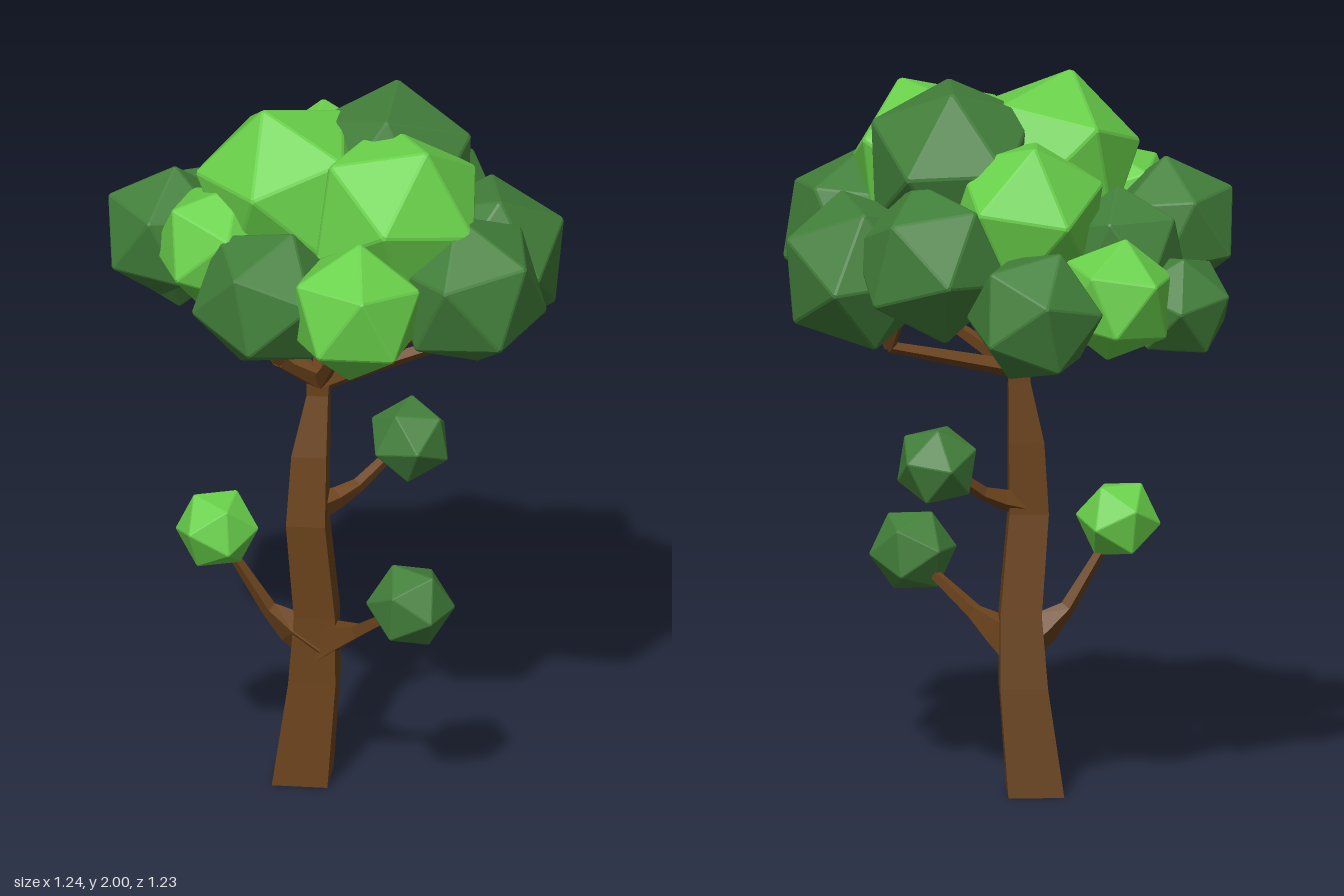
import * as THREE from 'three';
import { ConvexGeometry } from 'three/addons/geometries/ConvexGeometry.js';

const BARK = new THREE.MeshStandardMaterial({ color: 0x6b431c, flatShading: true });
const DARK = new THREE.MeshStandardMaterial({ color: 0x427f3a, flatShading: true });
const LIGHT = new THREE.MeshStandardMaterial({ color: 0x69d04a, flatShading: true });
const UP = new THREE.Vector3(0, 1, 0);

// Faceted limb through stations [x, y, z, radius]; level keeps every ring horizontal.
function limb(name, stations, sides, level = false, turn = 0) {
  const centres = stations.map(([x, y, z]) => new THREE.Vector3(x, y, z));
  const pos = [], index = [], last = stations.length - 1;
  centres.forEach((c, i) => {
    const q = new THREE.Quaternion();
    if (!level) {
      const dir = centres[Math.min(i + 1, last)].clone().sub(centres[Math.max(i - 1, 0)]).normalize();
      q.setFromUnitVectors(UP, dir);
    }
    for (let s = 0; s < sides; s++) {
      const a = turn + (s / sides) * Math.PI * 2, r = stations[i][3];
      const v = new THREE.Vector3(Math.sin(a) * r, 0, Math.cos(a) * r).applyQuaternion(q).add(c);
      pos.push(v.x, v.y, v.z);
    }
  });
  const foot = pos.length / 3, tip = foot + 1;
  pos.push(...centres[0].toArray(), ...centres[last].toArray());
  for (let s = 0; s < sides; s++) {
    const t = (s + 1) % sides;
    for (let i = 0; i < last; i++) {
      const a = i * sides + s, b = i * sides + t;
      index.push(a, b, b + sides, a, b + sides, a + sides);
    }
    index.push(foot, t, s, tip, last * sides + s, last * sides + t);
  }
  const g = new THREE.BufferGeometry();
  g.setAttribute('position', new THREE.Float32BufferAttribute(pos, 3));
  g.setIndex(index);
  g.computeVertexNormals();
  const mesh = new THREE.Mesh(g, BARK);
  mesh.name = name;
  return mesh;
}

// Unit icosahedron with bevelled edges: each face shrinks a little in its own plane.
function bevelledIcosahedron(bevel) {
  const p = new THREE.IcosahedronGeometry(1, 0).attributes.position;
  const points = [];
  for (let f = 0; f < p.count; f += 3) {
    const face = [0, 1, 2].map((k) => new THREE.Vector3().fromBufferAttribute(p, f + k));
    const mid = face[0].clone().add(face[1]).add(face[2]).divideScalar(3);
    points.push(...face.map((v) => v.lerp(mid, bevel)));
  }
  const corner = new THREE.Vector3().fromBufferAttribute(p, 0).normalize();
  return new ConvexGeometry(points).applyQuaternion(new THREE.Quaternion().setFromUnitVectors(corner, UP));
}
const LEAVES = bevelledIcosahedron(0.06);

// Leaf clump with one corner aimed along a direction and spun about it.
function clump(name, [x, y, z, r], material, aim, spin) {
  const mesh = new THREE.Mesh(LEAVES, material);
  mesh.name = name;
  mesh.position.set(x, y, z);
  mesh.scale.setScalar(r);
  mesh.quaternion.setFromUnitVectors(UP, aim.normalize())
    .multiply(new THREE.Quaternion().setFromAxisAngle(UP, spin));
  return mesh;
}

export function createModel() {
  const tree = new THREE.Group();
  tree.name = 'tree';
  const away = ([x, y, z], from) => new THREE.Vector3(x, y, z).sub(from);

  // Trunk: a gently bent four-sided column
  tree.add(limb('trunk', [
    [-0.095, 0, 0.055, 0.108], [-0.064, 0.3, 0.066, 0.092], [-0.058, 0.5, 0.076, 0.08],
    [-0.084, 0.78, 0.09, 0.076], [-0.075, 0.98, 0.08, 0.068],
    [-0.053, 1.15, 0.068, 0.042], [-0.05, 1.21, 0.07, 0.044],
  ], 4, true, 0.6));

  // Side branches, flared where they leave the trunk
  const sideBranches = {
    upperSideBranch: [[-0.07, 0.81, 0.08, 0.045], [0.0, 0.825, 0.05, 0.03], [0.06, 0.85, 0.025, 0.02], [0.18, 0.94, -0.04, 0.014]],
    rightSideBranch: [[-0.05, 0.4, 0.08, 0.06], [-0.125, 0.455, 0.078, 0.048], [-0.19, 0.51, 0.07, 0.022], [-0.31, 0.71, 0.065, 0.012]],
    leftSideBranch: [[-0.06, 0.4, 0.08, 0.06], [-0.01, 0.445, 0.125, 0.048], [0.045, 0.485, 0.185, 0.023], [0.17, 0.61, 0.32, 0.012]],
  };
  for (const [name, path] of Object.entries(sideBranches)) tree.add(limb(name, path, 4));

  // Crown branches: hub to knee, then twigs up into the leaves
  const hub = [-0.05, 1.18, 0.07];
  const forks = [
    { knee: [0.32, 1.27, 0.02], ends: [[0.4, 1.45, -0.02], [0.3, 1.48, -0.16]] },
    { knee: [0.12, 1.3, 0.2], ends: [[0.28, 1.48, 0.28], [0.14, 1.48, 0.34]] },
    { knee: [-0.02, 1.33, 0.25], ends: [[0.02, 1.5, 0.37]] },
    { knee: [-0.17, 1.3, 0.2], ends: [[-0.22, 1.5, 0.3], [-0.3, 1.5, 0.15]] },
    { knee: [-0.23, 1.32, 0.02], ends: [[-0.42, 1.5, -0.05], [-0.3, 1.5, 0.08]] },
    { knee: [-0.22, 1.31, -0.16], ends: [[-0.38, 1.42, -0.28], [-0.24, 1.48, -0.36]] },
    { knee: [0.0, 1.32, -0.28], ends: [[0.02, 1.43, -0.42], [0.06, 1.5, -0.22]] },
  ];
  for (const { knee, ends } of forks) {
    tree.add(limb('crownBranch', [[...hub, 0.026], [...knee, 0.016]], 4));
    for (const end of ends) tree.add(limb('twig', [[...knee, 0.016], [...end, 0.011]], 4));
  }

  // Outer crown leaves: [x, y, z, radius, spin]
  const crownDark = [
    [0.02, 1.435, -0.435, 0.195, 0.9], [-0.41, 1.42, -0.31, 0.158, 1.4],
    [-0.28, 1.55, -0.21, 0.188, 2.1], [-0.455, 1.59, -0.055, 0.195, 4.03], [0.42, 1.5, -0.03, 0.23, 4.13],
    [0.26, 1.55, -0.22, 0.225, 4.6], [0.34, 1.55, 0.3, 0.23, 5.5], [-0.21, 1.545, 0.31, 0.213, 6.0],
  ];
  const crownLight = [
    [-0.135, 1.76, 0.06, 0.26, 0.93], [0.15, 1.735, 0.2, 0.26, 1], [-0.01, 1.66, -0.18, 0.235, 2.3],
    [-0.22, 1.46, -0.385, 0.173, 3.0], [-0.33, 1.62, 0.115, 0.187, 3.1], [0.02, 1.55, 0.438, 0.2, 4.43],
  ];
  const heart = new THREE.Vector3(0, 1.3, 0);
  for (const c of crownDark) tree.add(clump('darkCrownLeaves', c, DARK, away(c, heart), c[4]));
  for (const c of crownLight) tree.add(clump('lightCrownLeaves', c, LIGHT, away(c, heart), c[4]));

  // Topmost clump, tipped towards the back
  tree.add(clump('topLeaves', [0.145, 1.77, 0.005, 0.26], DARK, new THREE.Vector3(0.12, 0.87, -0.47), -0.1));

  // Small leaf clumps on the side branches
  const stem = new THREE.Vector3(-0.06, 0.7, -0.2);
  const small = [
    ['upperSideLeaves', [0.205, 0.95, -0.05, 0.12], DARK],
    ['rightSideLeaves', [-0.33, 0.75, 0.065, 0.118], LIGHT],
    ['leftSideLeaves', [0.18, 0.63, 0.345, 0.123], DARK],
  ];
  small.forEach(([name, c, material], i) => tree.add(clump(name, c, material, away(c, stem), i * 0.4)));
  return tree;
}
